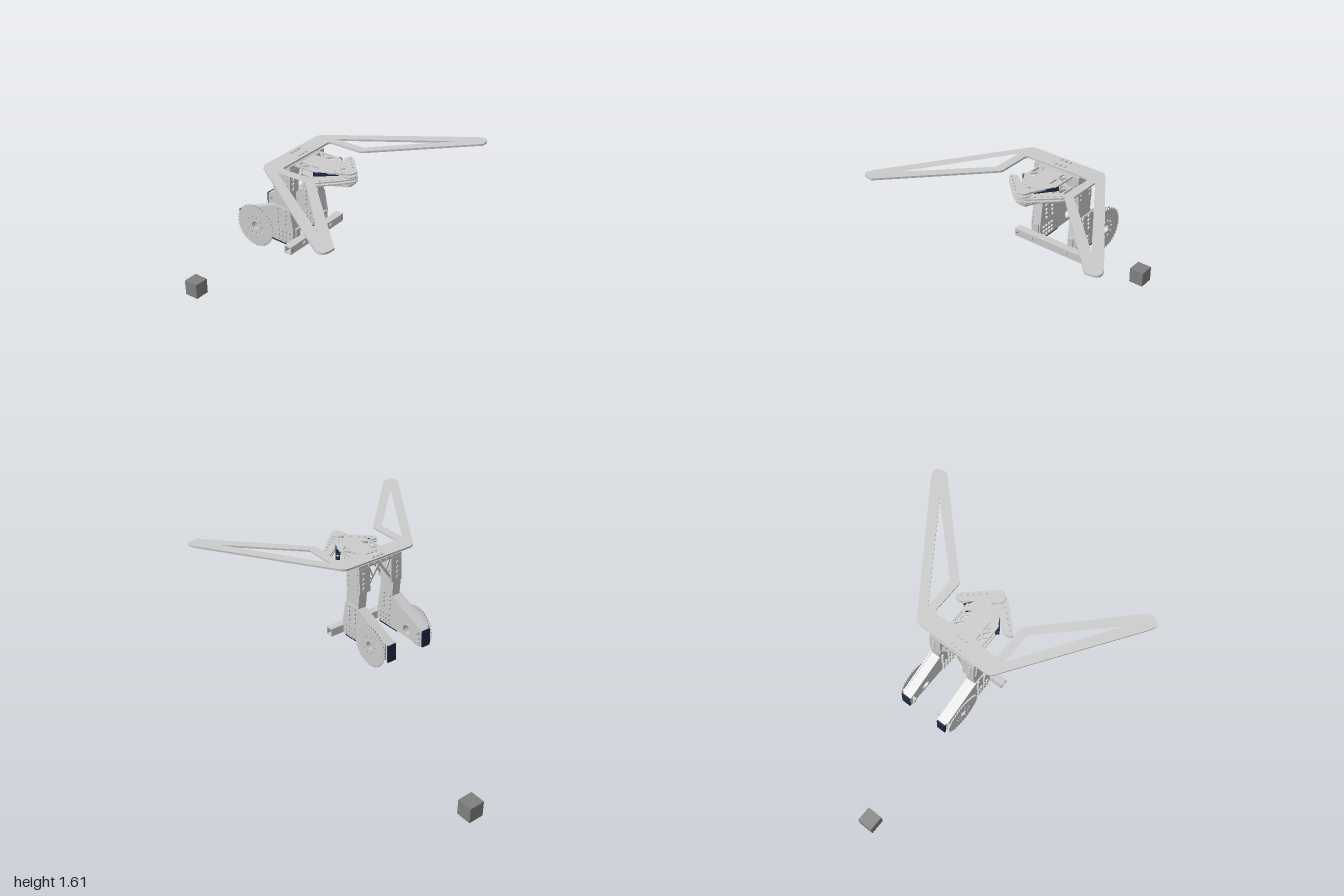
import * as THREE from 'three';
import { mergeGeometries } from 'three/addons/utils/BufferGeometryUtils.js';

const grey = new THREE.MeshStandardMaterial({ color: 0xcccccc, flatShading: true });
const navy = new THREE.MeshStandardMaterial({ color: 0x1c2a44, flatShading: true });
const dark = new THREE.MeshStandardMaterial({ color: 0x808080, flatShading: true });

function add(parent, name, geo, mat = grey) {
  const m = new THREE.Mesh(geo, mat);
  m.name = name;
  parent.add(m);
  return m;
}

// Box given by its min and max on each axis
function box(x0, x1, y0, y1, z0, z1) {
  return new THREE.BoxGeometry(x1 - x0, y1 - y0, z1 - z0)
    .translate((x0 + x1) / 2, (y0 + y1) / 2, (z0 + z1) / 2);
}

// Closed outline; a third number on a point rounds that corner
function outline(pts, Type = THREE.Shape) {
  const s = new Type();
  const v = pts.map(p => new THREE.Vector2(p[0], p[1]));
  v.forEach((p, i) => {
    const r = pts[i][2] || 0;
    const toward = q => q.clone().sub(p).setLength(r).add(p);
    const a = r ? toward(v[(i + v.length - 1) % v.length]) : p;
    if (i) s.lineTo(a.x, a.y); else s.moveTo(a.x, a.y);
    if (r) {
      const b = toward(v[(i + 1) % v.length]);
      s.quadraticCurveTo(p.x, p.y, b.x, b.y);
    }
  });
  s.closePath();
  return s;
}

const disc = (x, y, r, n = 20) => outline(Array.from({ length: n }, (_, i) => {
  const a = i / n * Math.PI * 2;
  return [x + r * Math.cos(a), y + r * Math.sin(a)];
}), THREE.Path);

function extrude(shape, holes, depth) {
  shape.holes.push(...holes);
  return new THREE.ExtrudeGeometry(shape, { depth, bevelEnabled: false, curveSegments: 8 });
}
// Upright sheet drawn in x,y between two z values
const sheet = (shape, holes, za, zb) =>
  extrude(shape, holes, Math.abs(zb - za)).translate(0, 0, Math.min(za, zb));
// Level plate drawn in x,z with its top at y
const plate = (shape, holes, top, t) =>
  extrude(shape, holes, t).rotateX(Math.PI / 2).translate(0, top, 0);

const mirrored = half => [...half, ...half.slice().reverse().map(([x, z, r]) => [x, -z, r])];

// Merged bolt heads at the given points, pointing along one axis
function bolts(points, axis, r = 0.013, h = 0.012) {
  return mergeGeometries(points.map(p => {
    const g = new THREE.CylinderGeometry(r, r, h, 10);
    if (axis === 'x') g.rotateZ(Math.PI / 2);
    if (axis === 'z') g.rotateX(Math.PI / 2);
    return g.translate(...p);
  }));
}
const gridOf = (xs, ys) => xs.flatMap(x => ys.map(y => [x, y]));

// Straight square bar between two points
function bar(a, b, w) {
  const A = new THREE.Vector3(...a), B = new THREE.Vector3(...b);
  const q = new THREE.Quaternion().setFromUnitVectors(new THREE.Vector3(0, 1, 0), B.clone().sub(A).normalize());
  const mid = A.clone().add(B).multiplyScalar(0.5);
  return new THREE.BoxGeometry(w, A.distanceTo(B), w).applyQuaternion(q).translate(mid.x, mid.y, mid.z);
}

function leg(side) {
  const g = new THREE.Group();
  g.name = side > 0 ? 'frontLeg' : 'backLeg';
  const z = v => v * side;
  const bore = () => disc(-0.11, 1.05, 0.035);
  const column = [[0.205, 1.1], [0.175, 1.26], [0.165, 1.38], [0.165, 1.55], [0.03, 1.55], [0.03, 1.38], [0.045, 1.25]];
  // Leg body, with the arm that carries the gear
  add(g, 'legBody', sheet(outline([[-0.265, 0.99], [0.205, 1.0], ...column, [-0.265, 1.11]]),
    [bore()], z(0.115), z(0.18)));
  add(g, 'outerPlate', sheet(outline([[-0.25, 1.0], [0.205, 1.0], [0.205, 1.12], [0.175, 1.26], [0.045, 1.26], [-0.25, 1.12]]),
    [bore()], z(0.18), z(0.19)));
  const [c0, c1] = [z(0.092), z(0.18)].sort((a, b) => a - b);
  add(g, 'columnHead', box(0.025, 0.17, 1.37, 1.55, c0, c1));
  const [e0, e1] = [z(0.118), z(0.185)].sort((a, b) => a - b);
  add(g, 'endCap', box(-0.275, -0.262, 0.985, 1.11, e0, e1), navy);
  add(g, 'footBlock', box(0.0, 0.19, 0.985, 1.0, e0, e1), navy);
  const [k0, k1] = [z(0.125), z(0.165)].sort((a, b) => a - b);
  add(g, 'beamBracket', box(0.2, 0.215, 1.0, 1.12, k0, k1));

  // Bolt rows
  const face = [...gridOf([0.07, 0.135], [1.145, 1.18, 1.21, 1.245]),
    ...gridOf([0.08, 0.11, 0.14, 0.17], [1.02, 1.05, 1.085]),
    ...gridOf([-0.237], [1.01, 1.045, 1.08])];
  add(g, 'outerBolts', bolts(face.map(([x, y]) => [x, y, z(0.194)]), 'z'));
  add(g, 'innerBolts', bolts(face.map(([x, y]) => [x, y, z(0.11)]), 'z', 0.011, 0.016));
  const rows = [1.4, 1.435, 1.47, 1.51];
  add(g, 'columnBolts', bolts([0.022, 0.173].flatMap(x => rows.map(y => [x, y, z(0.145)])), 'x'));
  add(g, 'headBolts', bolts(gridOf([0.05, 0.145], rows).map(([x, y]) => [x, y, z(0.183)]), 'z', 0.009, 0.008));
  add(g, 'capPins', bolts(gridOf([-0.237], [1.09]).map(([x, y]) => [x, y, z(0.15)]), 'z', 0.008, 0.12));

  // Toothed wheel with a ring of small holes
  const teeth = 40, rim = [];
  for (let i = 0; i < teeth; i++) {
    [[0, 0.143], [0.3, 0.155], [0.6, 0.155], [0.9, 0.143]].forEach(([f, r]) => {
      const a = (i + f) / teeth * Math.PI * 2;
      rim.push([-0.11 + r * Math.cos(a), 1.05 + r * Math.sin(a)]);
    });
  }
  const ring = Array.from({ length: 10 }, (_, i) => {
    const a = i / 10 * Math.PI * 2;
    return disc(-0.11 + 0.062 * Math.cos(a), 1.05 + 0.062 * Math.sin(a), 0.009, 10);
  });
  add(g, 'gear', sheet(outline(rim), [disc(-0.11, 1.05, 0.03), ...ring], z(0.202), z(0.211)));
  add(g, 'gearSpacer', sheet(disc2(-0.11, 1.05, 0.048), [disc(-0.11, 1.05, 0.03)], z(0.188), z(0.203)));

  // Lattice brace under the top plate
  [0.045, 0.15].forEach(x => {
    add(g, 'brace', bar([x, 1.385, z(0.108)], [x, 1.545, z(0.0)], 0.013));
    add(g, 'braceStrut', bar([x, 1.45, z(0.064)], [x, 1.46, z(0.1)], 0.01));
    add(g, 'braceStrut', bar([x, 1.46, z(0.055)], [x, 1.55, z(0.092)], 0.01));
  });
  return g;
}
function disc2(x, y, r) {
  return new THREE.Shape(disc(x, y, r).getPoints());
}

function grabber() {
  const g = new THREE.Group();
  g.name = 'armMechanism';
  // Upper and lower truss plates with triangular cut-outs
  const trussHoles = () => [-1, 1].flatMap(s => [
    [[0.185, 0.068], [0.235, 0.068], [0.185, 0.112]],
    [[0.2, 0.117], [0.245, 0.078], [0.285, 0.117]],
    [[0.255, 0.068], [0.33, 0.068], [0.3, 0.108]],
  ].map(t => outline(t.map(([x, z]) => [x, z * s]), THREE.Path)));
  const truss = mirrored([[0.15, -0.13], [0.33, -0.13], [0.5, -0.04, 0.03], [0.53, -0.03, 0.02]]);
  [['upperTruss', 1.572], ['lowerTruss', 1.49]].forEach(([n, y]) =>
    add(g, n, plate(outline(truss), trussHoles(), y, 0.011)));

  // Swept arrow plates with a row of holes on each arm
  const arrow = mirrored([[0.35, -0.235, 0.02], [0.39, -0.215, 0.02], [0.54, -0.05, 0.03], [0.565, 0, 0.02]].slice(0, 3)
    .concat([[0.56, -0.015]]).reverse().concat([[0.335, -0.185, 0.01], [0.355, -0.155], [0.43, -0.06]]));
  const holes = () => [-1, 1].flatMap(s => [0, 1, 2, 3, 4].map(i => disc(0.375 + i * 0.027, s * (0.2 - i * 0.031), 0.007, 8)));
  [1.545, 1.525].forEach(y => add(g, 'arrowPlate', plate(outline(arrow), holes(), y, 0.009)));

  // Dark pads along both arms
  [-1, 1].forEach(s => [1.557, 1.5].forEach(y => {
    const pad = new THREE.BoxGeometry(0.16, 0.022, 0.03).rotateY(s * 0.68).translate(0.385, y, s * 0.085);
    add(g, 'armPad', pad, navy);
    add(g, 'padBolts', bolts([0, 1, 2].map(i => [0.34 + i * 0.045, y, s * (0.122 - i * 0.036)]), 'y', 0.008, 0.034));
  }));

  // Tip discs and the pivot through them
  [1.578, 1.553, 1.508].forEach(y => add(g, 'tipDisc', new THREE.CylinderGeometry(0.048, 0.048, 0.008, 20).translate(0.505, y - 0.004, 0)));
  add(g, 'pivot', new THREE.CylinderGeometry(0.014, 0.014, 0.11, 12).translate(0.455, 1.53, 0));
  add(g, 'tipSpacer', new THREE.CylinderGeometry(0.012, 0.012, 0.08, 12).translate(0.51, 1.532, 0));

  // Shared slight upward tilt
  g.rotation.z = 0.03;
  g.position.set(1.57 - 1.57 * Math.cos(0.03) + 1.53 * Math.sin(0.03) - 1.57, 0, 0);
  g.position.set(0.046, -0.006, 0);
  return g;
}

export function createModel() {
  const root = new THREE.Group();
  root.name = 'model';

  // Loose block standing apart
  const block = add(root, 'block', new THREE.BoxGeometry(0.122, 0.128, 0.124), dark);
  block.position.set(-0.937, 0.067, 0);
  block.rotation.z = 0.03;

  root.add(leg(1), leg(-1));

  // Hollow square cross beam
  const tube = outline([[0.21, 1.0], [0.265, 1.0], [0.265, 1.058], [0.21, 1.058]]);
  const bore = outline([[0.218, 1.008], [0.257, 1.008], [0.257, 1.05], [0.218, 1.05]], THREE.Path);
  add(root, 'crossBeam', sheet(tube, [bore], -0.288, 0.288));
  add(root, 'beamBolts', bolts([-0.145, 0.145].map(z => [0.268, 1.03, z]), 'x'));
  add(root, 'beamPins', bolts([-0.27, 0.27].map(z => [0.265, 1.03, z]), 'x', 0.007, 0.003), dark);

  // Bridge joining the two columns
  add(root, 'bridge', box(0.028, 0.168, 1.55, 1.573, -0.18, 0.18));
  add(root, 'bridgeEdgeBolts', bolts([0.026, 0.17].flatMap(x => [-0.1, -0.05, 0, 0.05, 0.1].map(z => [x, 1.562, z])), 'x', 0.008, 0.01));

  // Swept frame with a triangular window in each wing
  const half = [[0.16, -0.25, 0.03], [0.415, -0.247, 0.02], [0.997, -0.82], [0.997, -0.95, 0.12], [0.035, -0.292, 0.035]];
  const windowPts = s => outline([[0.17, -0.308 * s], [0.82, -0.742 * s], [0.397, -0.31 * s]], THREE.Path);
  const wing = add(root, 'wingFrame', plate(outline(mirrored(half)), [windowPts(1), windowPts(-1)], 0, 0.013));
  wing.rotation.z = 0.03;
  wing.position.y = 1.585;
  add(root, 'wingBolts', bolts(gridOf([0.063, 0.127], [-0.035, 0, 0.035]).map(([x, z]) => [x, 1.59, z]), 'y', 0.012, 0.012));

  root.add(grabber());
  return root;
}
